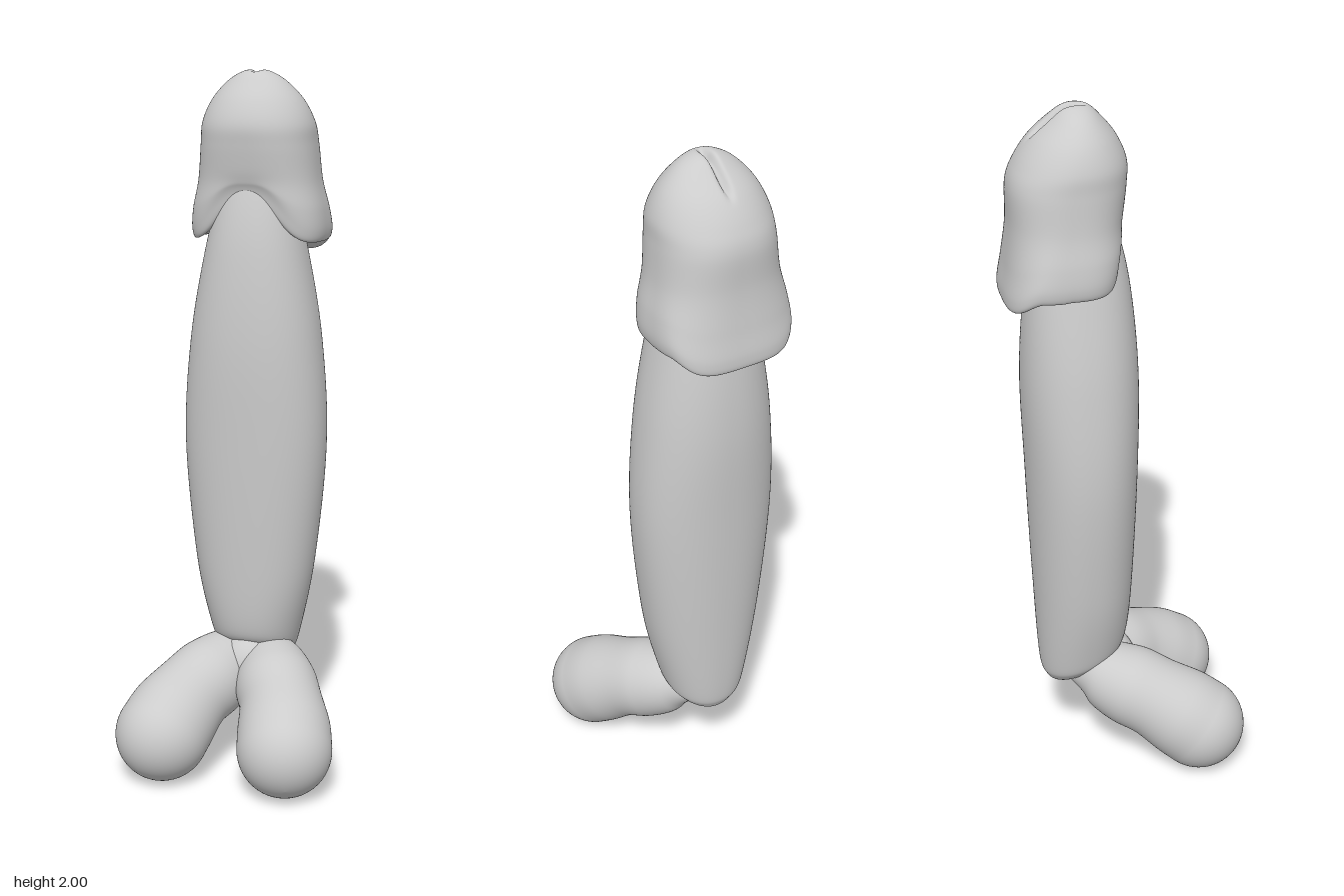
import * as THREE from 'three';

const SEG = 128;
const material = new THREE.MeshStandardMaterial({ color: 0xcccccc });

// Smooth closed skin over rings of SEG points each
function skin(name, rings) {
  const index = [];
  for (let r = 0; r < rings.length - 1; r++) {
    for (let i = 0; i < SEG; i++) {
      const a = r * SEG + i, b = r * SEG + (i + 1) % SEG;
      index.push(a, a + SEG, b, b, a + SEG, b + SEG);
    }
  }
  const geometry = new THREE.BufferGeometry().setFromPoints(rings.flat());
  geometry.setIndex(index);
  geometry.computeVertexNormals();
  const mesh = new THREE.Mesh(geometry, material);
  mesh.name = name;
  return mesh;
}

// Upright loft; each section is [y, half width, front z, back z, squareness]
function loft(name, sections, steps, warp) {
  const curve = (pick) => new THREE.CatmullRomCurve3(
    sections.map((s) => new THREE.Vector3(...pick(s))), false, 'catmullrom', 0.5);
  const size = curve((s) => [s[0], s[1], s[4]]);
  const depth = curve((s) => [s[2], s[3], 0]);
  const rings = [];
  for (let k = 0; k <= steps; k++) {
    const { x: y, y: rx, z: n } = size.getPoint(k / steps);
    const { x: zf, y: zb } = depth.getPoint(k / steps);
    const ring = [];
    for (let i = 0; i < SEG; i++) {
      const a = (i / SEG) * Math.PI * 2;
      const c = Math.cos(a), s = Math.sin(a);
      const p = new THREE.Vector3(
        Math.sign(c) * Math.abs(c) ** (2 / n) * rx, y,
        (zf + zb) / 2 + Math.sign(s) * Math.abs(s) ** (2 / n) * (zf - zb) / 2);
      warp(p, s, c);
      ring.push(p);
    }
    rings.push(ring);
  }
  return skin(name, rings);
}

// Round lobe swept along a path of [x, y, z, radius], ending in a hemisphere
function lobe(name, side) {
  const stations = [
    [0.03, 0.29, -0.16, 0.03], [0.055, 0.285, -0.09, 0.09],
    [0.095, 0.255, -0.005, 0.118], [0.135, 0.222, 0.07, 0.12],
    [0.165, 0.18, 0.14, 0.132], [0.183, 0.14, 0.195, 0.135],
  ];
  const path = new THREE.CatmullRomCurve3(
    stations.map(([x, y, z]) => new THREE.Vector3(x * side, y, z)), false, 'catmullrom', 0.5);
  const radii = new THREE.CatmullRomCurve3(
    stations.map((s) => new THREE.Vector3(s[3], 0, 0)), false, 'catmullrom', 0.5);
  const rings = [];
  const addRing = (centre, t, r) => {
    const u = new THREE.Vector3(1, 0, 0).addScaledVector(t, -t.x).normalize();
    const v = u.clone().cross(t);
    rings.push(Array.from({ length: SEG }, (_, i) => {
      const a = (i / SEG) * Math.PI * 2;
      return centre.clone().addScaledVector(u, r * Math.cos(a)).addScaledVector(v, r * Math.sin(a));
    }));
  };
  addRing(path.getPoint(0), path.getTangent(0), 0);
  for (let k = 0; k <= 40; k++) {
    addRing(path.getPoint(k / 40), path.getTangent(k / 40), radii.getPoint(k / 40).x);
  }
  const end = path.getPoint(1), dir = path.getTangent(1), r = stations.at(-1)[3];
  for (let k = 1; k <= 16; k++) {
    const a = (k / 16) * Math.PI / 2;
    addRing(end.clone().addScaledVector(dir, r * Math.sin(a)), dir, r * Math.cos(a));
  }
  return skin(name, rings);
}

export function createModel() {
  const group = new THREE.Group();
  const { smoothstep } = THREE.MathUtils;

  // Shaft: slightly bulging column with a rounded, tilted foot
  group.add(loft('shaft', [
    [0.275, 0, -0.15, -0.15, 2], [0.28, 0.06, -0.08, -0.21, 2],
    [0.31, 0.105, -0.02, -0.235, 2.1], [0.37, 0.13, 0.01, -0.248, 2.2],
    [0.6, 0.175, 0.025, -0.26, 2.2], [0.95, 0.206, 0.038, -0.272, 2.2],
    [1.25, 0.188, 0.042, -0.28, 2.2], [1.5, 0.145, 0.022, -0.262, 2.2],
    [1.66, 0.105, -0.012, -0.23, 2.1], [1.74, 0.07, -0.05, -0.2, 2],
    [1.75, 0, -0.12, -0.12, 2],
  ], 80, (p) => {
    p.y += (p.z + 0.15) * 0.35 * (1 - smoothstep(p.y, 0.3, 0.6));
  }));

  // Cap: flared rim, notched in front and lower behind, with a groove on top
  group.add(loft('cap', [
    [1.6, 0.1, -0.04, -0.23, 2.2], [1.55, 0.15, -0.03, -0.285, 2.6],
    [1.53, 0.182, -0.025, -0.322, 3], [1.56, 0.193, -0.02, -0.328, 3],
    [1.62, 0.188, -0.012, -0.317, 2.8], [1.7, 0.172, -0.006, -0.306, 2.5],
    [1.8, 0.163, 0.008, -0.305, 2.3], [1.86, 0.157, 0.01, -0.285, 2.1],
    [1.92, 0.13, -0.015, -0.245, 2], [1.97, 0.085, -0.055, -0.19, 2],
    [1.997, 0.04, -0.085, -0.155, 2], [2.005, 0, -0.12, -0.12, 2],
  ], 100, (p, s, c) => {
    const low = 1 - smoothstep(p.y, 1.53, 1.75);
    const notch = s > 0 ? 0.12 * Math.exp(-((c / 0.5) ** 2)) : 0;
    p.y += low * (notch - 0.045 * smoothstep(-s, 0.3, 1));
    if (p.y > 1.85) {
      const along = smoothstep(p.z, -0.26, -0.2) * (1 - smoothstep(p.z, -0.13, -0.08));
      p.y -= 0.025 * along * Math.exp(-((p.x / 0.01) ** 2));
    }
  }));

  // Two mirrored lobes and the saddle joining them
  group.add(lobe('leftLobe', 1), lobe('rightLobe', -1));
  const saddle = new THREE.Mesh(new THREE.SphereGeometry(1, 48, 32), material);
  saddle.name = 'saddle';
  saddle.scale.set(0.1, 0.1, 0.085);
  saddle.position.set(0, 0.28, -0.04);
  group.add(saddle);

  return group;
}
